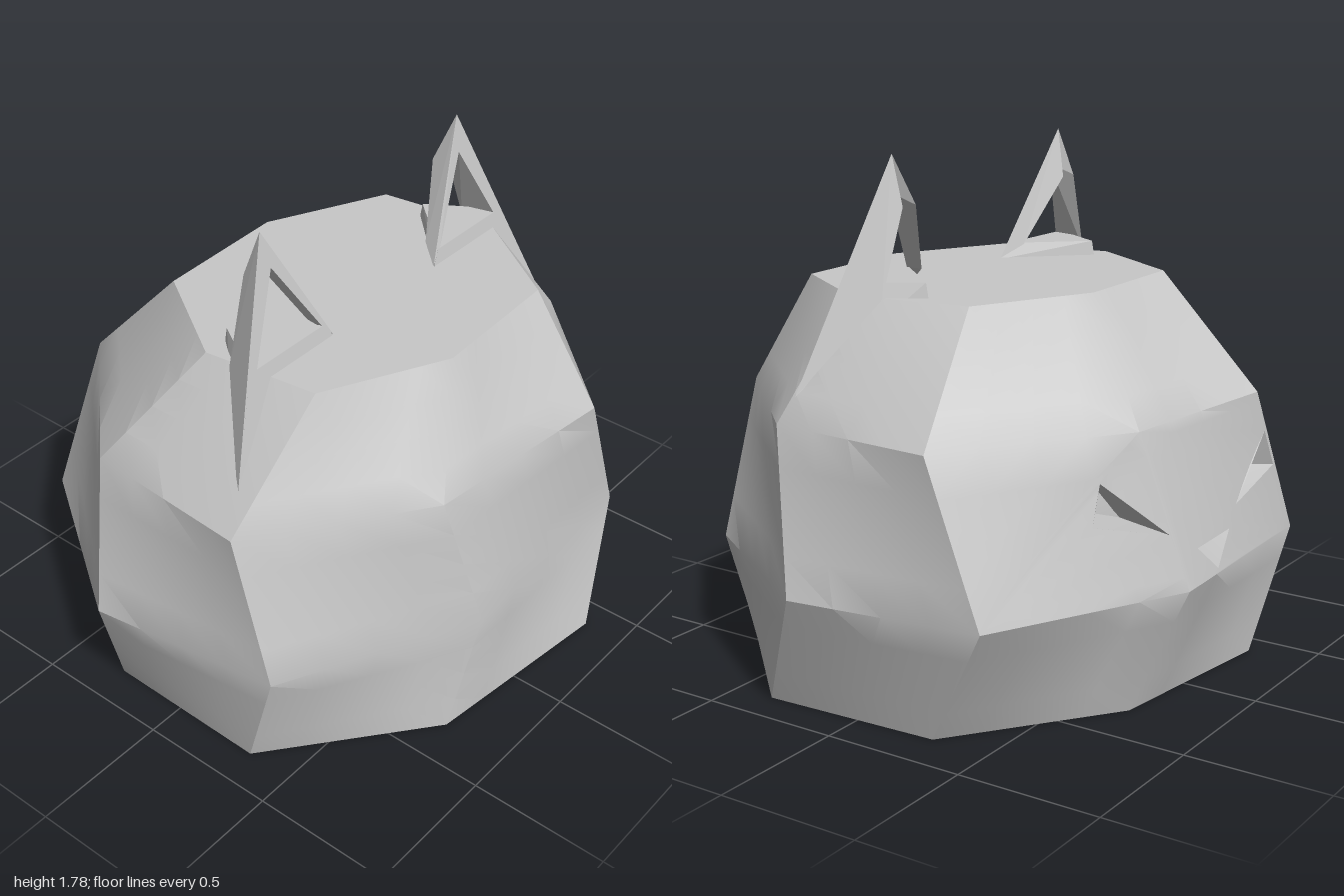
import * as THREE from 'three';
import { toCreasedNormals } from 'three/addons/utils/BufferGeometryUtils.js';
import { ConvexGeometry } from 'three/addons/geometries/ConvexGeometry.js';

const stone = new THREE.MeshStandardMaterial({ color: 0xc8c8c8, side: THREE.DoubleSide });
stone.name = 'grey stone';

// Faceted shell: four twisted octagons, each point [x, z]
const heights = [0, 0.42, 0.945, 1.335];
const rings = [
  [[0.87, 0.35], [0.39, 0.85], [-0.34, 0.76], [-0.87, 0.33], [-0.86, -0.28], [-0.39, -0.78], [0.30, -0.69], [0.84, -0.29]],
  [[1, 0.16], [0.61, 0.77], [-0.22, 0.80], [-0.90, 0.46], [-1, -0.22], [-0.59, -0.83], [0.22, -0.86], [0.91, -0.52]],
  [[0.86, 0.30], [0.40, 0.79], [-0.34, 0.71], [-0.90, 0.31], [-0.86, -0.30], [-0.39, -0.78], [0.30, -0.71], [0.90, -0.31]],
  [[0.61, 0.19], [0.37, 0.55], [-0.13, 0.57], [-0.55, 0.36], [-0.60, -0.05], [-0.36, -0.42], [0.13, -0.435], [0.55, -0.235]],
];

// Cut-outs in the back panels, each point [x, y]
const faceHoles = {
  5: [
    [[-0.19, 0.60], [-0.43, 0.80], [-0.48, 0.67]],
    [[-0.12, 0.535], [0.11, 0.53], [0, 0.435]],
  ],
  6: [[[0.256, 0.61], [0.44, 0.80], [0.49, 0.67]]],
};

const BASE_R = 0.7, BORE_R = 0.56, NOTCH_R = 0.65, SEGMENTS = 120;

// Circular outline whose radius depends on the angle in degrees, with square steps
function steppedCircle(radiusAt) {
  const pts = [];
  const step = 360 / SEGMENTS;
  for (let i = 0; i < SEGMENTS; i++) {
    const r = radiusAt((i + 0.5) * step);
    for (const a of [i * step, (i + 1) * step]) {
      const t = THREE.MathUtils.degToRad(a);
      const p = new THREE.Vector2(r * Math.cos(t), -r * Math.sin(t));
      if (!pts.length || pts[pts.length - 1].distanceTo(p) > 1e-4) pts.push(p);
    }
  }
  pts.pop();
  return pts;
}

function shellGeometry() {
  const pos = [];
  const mix = THREE.MathUtils.lerp;
  const mix3 = (p, q, t) => p.map((n, i) => mix(n, q[i], t));
  const quad = (a, b, c, d) => pos.push(...a, ...b, ...c, ...a, ...c, ...d);

  // Twisted four-sided face, divided 4 x 4 so it bends evenly
  const twistedFace = (a, b, c, d) => {
    const at = (s, t) => mix3(mix3(a, b, s / 4), mix3(d, c, s / 4), t / 4);
    for (let s = 0; s < 4; s++) {
      for (let t = 0; t < 4; t++) quad(at(s, t), at(s, t + 1), at(s + 1, t + 1), at(s + 1, t));
    }
  };

  // Splits a flat triangle into four, level by level, then lifts it into space
  const splitTri = (p, q, r, lift, level) => {
    if (level === 0) {
      pos.push(...lift(p.x, p.y), ...lift(q.x, q.y), ...lift(r.x, r.y));
      return;
    }
    const pq = p.clone().lerp(q, 0.5), qr = q.clone().lerp(r, 0.5), rp = r.clone().lerp(p, 0.5);
    for (const t of [[p, pq, rp], [pq, q, qr], [rp, qr, r], [pq, qr, rp]]) {
      splitTri(...t, lift, level - 1);
    }
  };

  // Fills a 2D outline with holes and lifts it into space
  const panel = (outline, holes, lift, sign, level) => {
    const v = (list) => list.map(([x, y]) => new THREE.Vector2(x, y));
    const contour = v(outline);
    const inner = holes.map(v);
    const all = [contour, ...inner].flat();
    for (const f of THREE.ShapeUtils.triangulateShape(contour, inner)) {
      const [p, q, r] = f.map((i) => all[i]);
      const area = (q.x - p.x) * (r.y - p.y) - (q.y - p.y) * (r.x - p.x);
      const order = area * sign > 0 ? [p, q, r] : [p, r, q];
      splitTri(...order, lift, level);
    }
  };

  for (let k = 0; k < 3; k++) {
    for (let i = 0; i < 8; i++) {
      const j = (i + 1) % 8;
      const at = (ring, n) => [rings[ring][n][0], heights[ring], rings[ring][n][1]];
      const a = at(k, i), b = at(k, j), c = at(k + 1, j), d = at(k + 1, i);
      const holes = k === 1 && faceHoles[i];
      if (!holes) { twistedFace(a, b, c, d); continue; }
      // Panel with face cut-outs
      const lift = (x, y) => {
        const t = (y - a[1]) / (d[1] - a[1]);
        const l = mix3(a, d, t), r = mix3(b, c, t);
        return [x, y, mix(l[2], r[2], (x - l[0]) / (r[0] - l[0]))];
      };
      panel([a, b, c, d], holes, lift, -1, 2);
      // Cut-out walls running in to the hollow
      for (const hole of holes) {
        const outer = hole.map(([x, y]) => lift(x, y));
        const inner = outer.map(([x, y, z]) => [x * 0.72, y, z * 0.72]);
        outer.forEach((p, n) => {
          const m = (n + 1) % outer.length;
          quad(p, inner[n], inner[m], outer[m]);
        });
      }
    }
  }
  // Flat top and underside
  panel(rings[3], [], (x, z) => [x, heights[3], z], -1, 0);
  const rim = steppedCircle(() => BASE_R).map((p) => [p.x, p.y]);
  panel(rings[0], [rim], (x, z) => [x, 0, z], 1, 0);

  const geo = new THREE.BufferGeometry();
  geo.setAttribute('position', new THREE.Float32BufferAttribute(pos, 3));
  return toCreasedNormals(geo, 0.53);
}

// One layer of the socket collar
function collarLayer(y, height, radiusAt) {
  const shape = new THREE.Shape(steppedCircle(() => BASE_R));
  shape.holes.push(new THREE.Path(steppedCircle(radiusAt)));
  const geo = new THREE.ExtrudeGeometry(shape, { depth: height, bevelEnabled: false });
  geo.rotateX(-Math.PI / 2).translate(0, y, 0);
  return toCreasedNormals(geo, 0.5);
}

// Hollow ear: two tapering legs and a sunken wedge base around an open triangle
function makeEar(side) {
  const ear = new THREE.Group();
  ear.name = side > 0 ? 'leftEar' : 'rightEar';
  const tip = [0.497, 1.785, 0.1], holeTop = [0.48, 1.66, 0.127];
  const parts = {
    earOuterLeg: [tip, holeTop, [0.515, 1.62, 0.045], [0.81, 1.03, 0.262],
      [0.62, 1.385, 0.186], [0.622, 1.385, 0.125], [0.61, 1.335, 0.06]],
    earInnerLeg: [tip, holeTop, [0.445, 1.62, 0.045], [0.265, 1.335, 0.195],
      [0.31, 1.385, 0.186], [0.31, 1.385, 0.125]],
    earBase: [[0.30, 1.385, 0.186], [0.655, 1.385, 0.186], [0.51, 1.385, -0.04],
      [0.265, 1.33, 0.197], [0.51, 1.33, -0.05], [0.81, 1.03, 0.262], [0.4, 1.2, 0.225]],
  };
  for (const [name, pts] of Object.entries(parts)) {
    const hull = new ConvexGeometry(pts.map(([x, y, z]) => new THREE.Vector3(x * side, y, z)));
    const mesh = new THREE.Mesh(hull, stone);
    mesh.name = name;
    ear.add(mesh);
  }
  return ear;
}

export function createModel() {
  const model = new THREE.Group();
  model.name = 'catLantern';
  const add = (name, geo) => {
    const mesh = new THREE.Mesh(geo, stone);
    mesh.name = name;
    model.add(mesh);
  };

  add('facetedShell', shellGeometry());
  model.add(makeEar(1), makeEar(-1));

  // Socket collar with three L-shaped locking slots
  const cutAt = (sweep) => (deg) => {
    const hit = [97, 217, 337].some((c) => (deg - c + 12 + 360) % 360 < 24 + sweep);
    return hit ? NOTCH_R : BORE_R;
  };
  add('collarNotches', collarLayer(0, 0.1, cutAt(0)));
  add('collarSlots', collarLayer(0.1, 0.08, cutAt(38)));
  add('collarTop', collarLayer(0.18, 0.1, () => BORE_R));

  // Domed hollow inside
  const dome = [[BORE_R, 0.28], [0.6, 0.45], [0.6, 0.75], [0.53, 0.98], [0.35, 1.16], [0, 1.24]];
  add('innerHollow', new THREE.LatheGeometry(dome.map(([x, y]) => new THREE.Vector2(x, y)), 64));

  return model;
}
